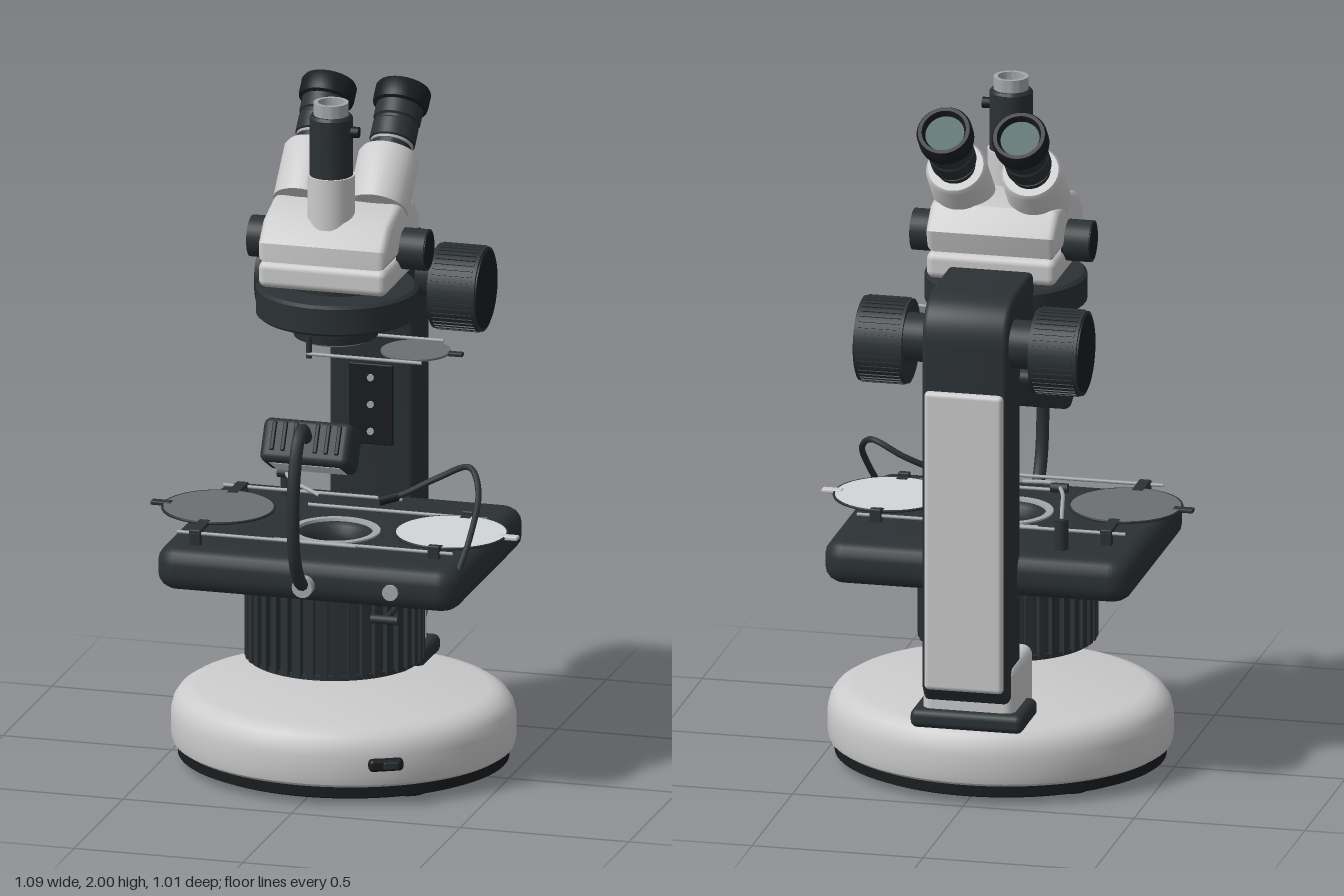
import * as THREE from 'three';
import { toCreasedNormals } from 'three/addons/utils/BufferGeometryUtils.js';
import { RoundedBoxGeometry } from 'three/addons/geometries/RoundedBoxGeometry.js';

const mat = (color, side = THREE.FrontSide) => new THREE.MeshStandardMaterial({ color, side });

export function createModel() {
  const root = new THREE.Group();
  const light = mat(0xcccccc), dark = mat(0x2b3134), black = mat(0x191c1e), metal = mat(0xa4a8a8);
  const glass = mat(0x46605f), smoke = mat(0x6c7072), frost = mat(0xd2d6d8);

  const add = (name, geo, m, x = 0, y = 0, z = 0, parent = root) => {
    const mesh = new THREE.Mesh(geo, m);
    mesh.name = name;
    mesh.position.set(x, y, z);
    parent.add(mesh);
    return mesh;
  };
  const group = (name, x, y, z) => {
    const g = new THREE.Group();
    g.name = name;
    g.position.set(x, y, z);
    root.add(g);
    return g;
  };
  const cyl = (r, h, n = 40, r2 = r) => new THREE.CylinderGeometry(r, r2, h, n);
  const cylX = (r, h, n = 40) => cyl(r, h, n).rotateZ(Math.PI / 2);
  const cylZ = (r, h, n = 20) => cyl(r, h, n).rotateX(Math.PI / 2);
  const box = (w, h, d, r = 0.01) => new RoundedBoxGeometry(w, h, d, 3, r);
  // Profile points are [radius, y], listed from bottom to top on the outside
  const lathe = (pts, n = 56) =>
    toCreasedNormals(new THREE.LatheGeometry(pts.map(p => new THREE.Vector2(...p)), n), 0.6);
  const extrude = (shape, depth, bevel) => toCreasedNormals(new THREE.ExtrudeGeometry(shape, {
    depth: depth - 2 * bevel, bevelThickness: bevel, bevelSize: bevel, bevelOffset: -bevel,
    bevelSegments: 4, curveSegments: 20,
  }).translate(0, 0, bevel - depth / 2), 0.6);
  // Side outline in (z, y), extruded across x
  const sideways = (shape, width, bevel) => extrude(shape, width, bevel).rotateY(-Math.PI / 2);
  const poly = pts => new THREE.Shape(pts.map(p => new THREE.Vector2(...p)));
  const tube = (pts, r, n = 48) => new THREE.TubeGeometry(
    new THREE.CatmullRomCurve3(pts.map(p => new THREE.Vector3(...p))), n, r, 10);

  // Oval base with dark underside, feet and switch
  const base = group('base', 0, 0, -0.035);
  base.scale.z = 0.925;
  add('basePlate', lathe([[0, 0.015], [0.45, 0.015], [0.475, 0.025], [0.475, 0.06], [0, 0.06]], 80), black, 0, 0, 0, base);
  add('baseBody', lathe([[0, 0.055], [0.475, 0.055], [0.49, 0.065], [0.495, 0.085], [0.495, 0.15], [0.488, 0.18],
    [0.472, 0.203], [0.448, 0.218], [0.42, 0.225], [0, 0.225]], 80), light, 0, 0, 0, base);
  for (let i = 0; i < 4; i++) {
    const a = Math.PI / 4 + i * Math.PI / 2;
    add('foot', cyl(0.055, 0.03, 24), black, 0.36 * Math.cos(a), 0.015, 0.36 * Math.sin(a), base);
  }
  const power = group('powerSwitch', 0.24, 0.127, 0.365);
  power.rotation.y = 0.48;
  add('switchFrame', box(0.1, 0.036, 0.04, 0.012), black, 0, 0, 0, power);
  add('switchRocker', box(0.045, 0.022, 0.02, 0.004), dark, 0.012, 0, 0.015, power);

  // Column curving forward into the arm
  const outline = new THREE.Shape();
  outline.moveTo(-0.15, 1.5);
  outline.lineTo(-0.36, 1.5);
  outline.quadraticCurveTo(-0.488, 1.49, -0.488, 1.36);
  outline.lineTo(-0.488, 0.34);
  outline.lineTo(-0.46, 0.3);
  outline.lineTo(-0.32, 0.3);
  outline.lineTo(-0.32, 1.2);
  outline.quadraticCurveTo(-0.31, 1.35, -0.17, 1.36);
  outline.lineTo(0, 1.36);
  outline.lineTo(0, 1.44);
  outline.lineTo(-0.14, 1.44);
  add('column', sideways(outline, 0.25, 0.015), dark);
  add('backPanel', box(0.23, 0.89, 0.035, 0.014), light, 0, 0.785, -0.488);
  add('columnFoot', box(0.27, 0.2, 0.255, 0.03), light, 0, 0.305, -0.318);
  add('footCollar', box(0.33, 0.055, 0.2, 0.02), dark, 0, 0.24, -0.37);
  add('columnPlate', box(0.13, 0.24, 0.012, 0.004), black, 0, 0.98, -0.319);
  for (const y of [0.9, 0.98, 1.06]) add('plateScrew', cylZ(0.01, 0.01), metal, 0, y, -0.311);
  for (const s of [-1, 1]) {
    add('focusCollar', cylX(0.07, 0.1), dark, s * 0.15, 1.36, -0.40);
    add('focusKnob', cylX(0.122, 0.14, 48), dark, s * 0.255, 1.335, -0.365);
    add('focusKnobCap', cylX(0.112, 0.006, 48), black, s * 0.326, 1.335, -0.365);
    for (let i = 0; i < 44; i++) {
      const a = i / 44 * Math.PI * 2;
      const rib = add('knobRib', new THREE.BoxGeometry(0.12, 0.006, 0.008), dark,
        s * 0.255, 1.335 + 0.122 * Math.cos(a), -0.365 + 0.122 * Math.sin(a));
      rib.rotation.x = a;
    }
  }

  // Head carrier and objective
  add('headCarrier', lathe([[0, 1.35], [0.222, 1.35], [0.232, 1.358], [0.232, 1.432], [0.222, 1.44], [0, 1.44]]), dark, 0, 0, 0.03);
  add('objective', lathe([[0.085, 1.31], [0.088, 1.295], [0.12, 1.295], [0.125, 1.32], [0.15, 1.325], [0.155, 1.36]]), dark, 0, 0, 0.045);
  add('objectiveRing', new THREE.TorusGeometry(0.1, 0.008, 10, 48).rotateX(Math.PI / 2), metal, 0, 1.294, 0.045);
  add('objectiveLens', cyl(0.09, 0.01), glass, 0, 1.31, 0.045);

  // Swing filter under the objective
  for (const z of [-0.06, 0.17]) {
    add('filterRail', cylX(0.005, 0.34, 10), metal, 0.12, 1.268, z);
    add('filterPost', cyl(0.009, 0.09, 12), dark, -0.045, 1.3, z > 0 ? 0.165 : -0.055);
  }
  add('objectiveFilter', cyl(0.1, 0.006), smoke, 0.24, 1.268, 0.055);
  add('filterTab', box(0.045, 0.012, 0.022, 0.004), dark, 0.358, 1.268, 0.055);

  // Optical head
  add('headNeck', cyl(0.14, 0.04), dark, 0, 1.45, 0.02);
  add('headLower', box(0.38, 0.078, 0.36, 0.022), light, 0, 1.498, 0.015);
  add('headUpper', sideways(poly([[0.197, 1.54], [0.197, 1.595], [0.14, 1.655], [0.03, 1.69], [-0.11, 1.67],
    [-0.175, 1.605], [-0.155, 1.54]]), 0.38, 0.022), light);
  add('headSeam', box(0.35, 0.05, 0.32, 0.01), dark, 0, 1.535, 0.015);
  for (const s of [-1, 1]) {
    add('zoomKnob', cylX(0.06, 0.08, 32), dark, s * 0.222, 1.553, 0);
    add('zoomKnobCap', cylX(0.052, 0.01, 32), black, s * 0.259, 1.553, 0);
  }

  // Camera tube
  const port = group('cameraTube', 0, 0, 0.093);
  add('tubeBase', cyl(0.068, 0.15), light, 0, 1.71, 0, port);
  add('tubeSleeve', lathe([[0.062, 1.78], [0.062, 1.955], [0.056, 1.963], [0.03, 1.963]], 40), dark, 0, 0, 0, port);
  add('tubeCollar', lathe([[0.05, 1.955], [0.05, 2], [0.038, 2], [0.038, 1.96]], 40), metal, 0, 0, 0, port);
  add('tubeLens', cyl(0.039, 0.01), glass, 0, 1.965, 0, port);
  add('tubeScrew', cylX(0.016, 0.03, 16), black, 0.068, 1.915, 0, port);

  // Paired eyepieces, tilted to the back
  for (const s of [-1, 1]) {
    const eye = group('eyepiece', s * 0.11, 1.942, -0.275);
    eye.rotation.x = -0.77;
    add('eyeTube', lathe([[0, -0.4], [0.088, -0.39], [0.088, -0.225], [0.08, -0.212], [0, -0.212]], 40), light, 0, 0, 0, eye);
    add('eyeBarrel', lathe([[0.057, -0.215], [0.057, -0.18], [0.066, -0.175], [0.066, -0.125], [0.062, -0.12],
      [0.062, -0.112], [0.068, -0.107], [0.068, -0.05]], 40), dark, 0, 0, 0, eye);
    add('eyeRing', cyl(0.062, 0.008), metal, 0, -0.183, 0, eye);
    add('eyeCup', lathe([[0.068, -0.065], [0.078, -0.06], [0.08, -0.05], [0.08, -0.008], [0.075, 0], [0.064, 0],
      [0.055, -0.022]], 40), black, 0, 0, 0, eye);
    add('eyeLens', cyl(0.057, 0.008), glass, 0, -0.023, 0, eye);
  }

  // Stage plate with round opening
  const [w, f, b, r] = [0.45, 0.365, -0.36, 0.065];
  const plate = new THREE.Shape();
  plate.absarc(w - r, -b - r, r, 0, Math.PI / 2);
  plate.absarc(r - w, -b - r, r, Math.PI / 2, Math.PI);
  plate.absarc(r - w, r - f, r, Math.PI, Math.PI * 1.5);
  plate.absarc(w - r, r - f, r, Math.PI * 1.5, Math.PI * 2);
  plate.holes.push(new THREE.Path().absarc(0, -0.055, 0.08, 0, Math.PI * 2, true));
  add('stage', extrude(plate, 0.125, 0.045).rotateX(-Math.PI / 2), dark, 0, 0.6475, 0);
  add('stageRing', lathe([[0.13, 0.705], [0.13, 0.715], [0.11, 0.715], [0.105, 0.69]]), metal, 0, 0, 0.055);
  add('stageWell', cyl(0.1, 0.02), black, 0, 0.635, 0.055);
  for (const x of [0, 0.255]) add('stageScrew', cylZ(0.023, 0.02), metal, x, 0.64, 0.365);
  add('stageLever', cylX(0.013, 0.08, 16), dark, 0.24, 0.56, 0.375);
  add('leverStem', cylZ(0.009, 0.16, 12), dark, 0.24, 0.56, 0.3);

  // Ribbed lamp housing below the stage
  add('lampHousing', cyl(0.238, 0.25, 56), dark, 0, 0.465, 0.055);
  add('housingRim', cyl(0.248, 0.014, 56), dark, 0, 0.346, 0.055);
  for (let i = 0; i < 40; i++) {
    const a = i / 40 * Math.PI * 2;
    const fin = add('coolingFin', new THREE.BoxGeometry(0.022, 0.24, 0.03), dark,
      0.242 * Math.sin(a), 0.465, 0.055 + 0.242 * Math.cos(a));
    fin.rotation.y = a;
  }

  // Swing-out filter discs on rails at both sides of the stage
  for (const [s, y, z1, z2, m, tab] of [[-1, 0.752, -0.185, 0.29, smoke, dark], [1, 0.735, -0.122, 0.23, frost, light]]) {
    add('stageFilter', cyl(0.16, 0.006, 56), m, s * 0.345, y, 0.055);
    add('filterEdge', new THREE.TorusGeometry(0.16, 0.004, 8, 56).rotateX(Math.PI / 2), dark, s * 0.345, y, 0.055);
    add('stageFilterTab', box(0.06, 0.012, 0.028, 0.004), tab, s * 0.514, y, 0.055);
    for (const z of [z1, z2]) {
      add('stageRail', cylX(0.005, 0.53, 10), metal, s * 0.135, y - 0.008, z);
      add('railPost', box(0.035, 0.05, 0.02, 0.005), dark, s * 0.345, 0.724, z);
      const inner = 0.055 + Math.sign(z) * 0.145;
      add('railClip', box(0.035, 0.012, Math.abs(z - inner) + 0.02, 0.004), dark, s * 0.345, y - 0.002, (z + inner) / 2);
    }
  }

  // Front lamp on a gooseneck
  add('gooseneck', tube([[0, 0.64, 0.36], [0, 0.66, 0.41], [0, 0.74, 0.465], [0, 0.86, 0.486], [0, 1, 0.47],
    [0, 1.09, 0.43], [0, 1.11, 0.39], [0, 1.07, 0.345]], 0.019), dark);
  add('gooseneckSocket', cylZ(0.03, 0.04), metal, 0, 0.64, 0.375);
  const lamp = group('frontLamp', 0, 1.035, 0.3);
  lamp.rotation.x = -0.49;
  add('lampBody', box(0.265, 0.13, 0.13, 0.022), dark, 0, 0, 0, lamp);
  for (let i = -3; i <= 3; i++) {
    if (i) add('lampVent', box(0.013, 0.085, 0.012, 0.004), black, i * 0.032, 0.01, 0.064, lamp);
  }
  add('lampWindow', box(0.21, 0.008, 0.09, 0.003), frost, 0, -0.063, 0, lamp);

  // Thin bendable light guide and probe
  add('lightGuide', tube([[0.43, 0.69, 0.28], [0.442, 0.77, 0.2], [0.43, 0.87, 0.07], [0.38, 0.915, -0.005],
    [0.29, 0.875, -0.015], [0.2, 0.83, 0.02], [0.15, 0.812, 0.045]], 0.009), dark);
  add('guideTip', tube([[0.18, 0.822, 0.03], [0.13, 0.81, 0.055]], 0.014, 4), black);
  add('probePost', cyl(0.02, 0.1, 20), dark, -0.23, 0.75, -0.255);
  add('probeArm', tube([[-0.23, 0.79, -0.255], [-0.225, 0.825, -0.225], [-0.2, 0.835, -0.12], [-0.15, 0.828, -0.02],
    [-0.05, 0.808, 0.04]], 0.006), metal);
  add('probeJoint', cylX(0.014, 0.05, 16), dark, -0.18, 0.832, -0.07);
  return root;
}
